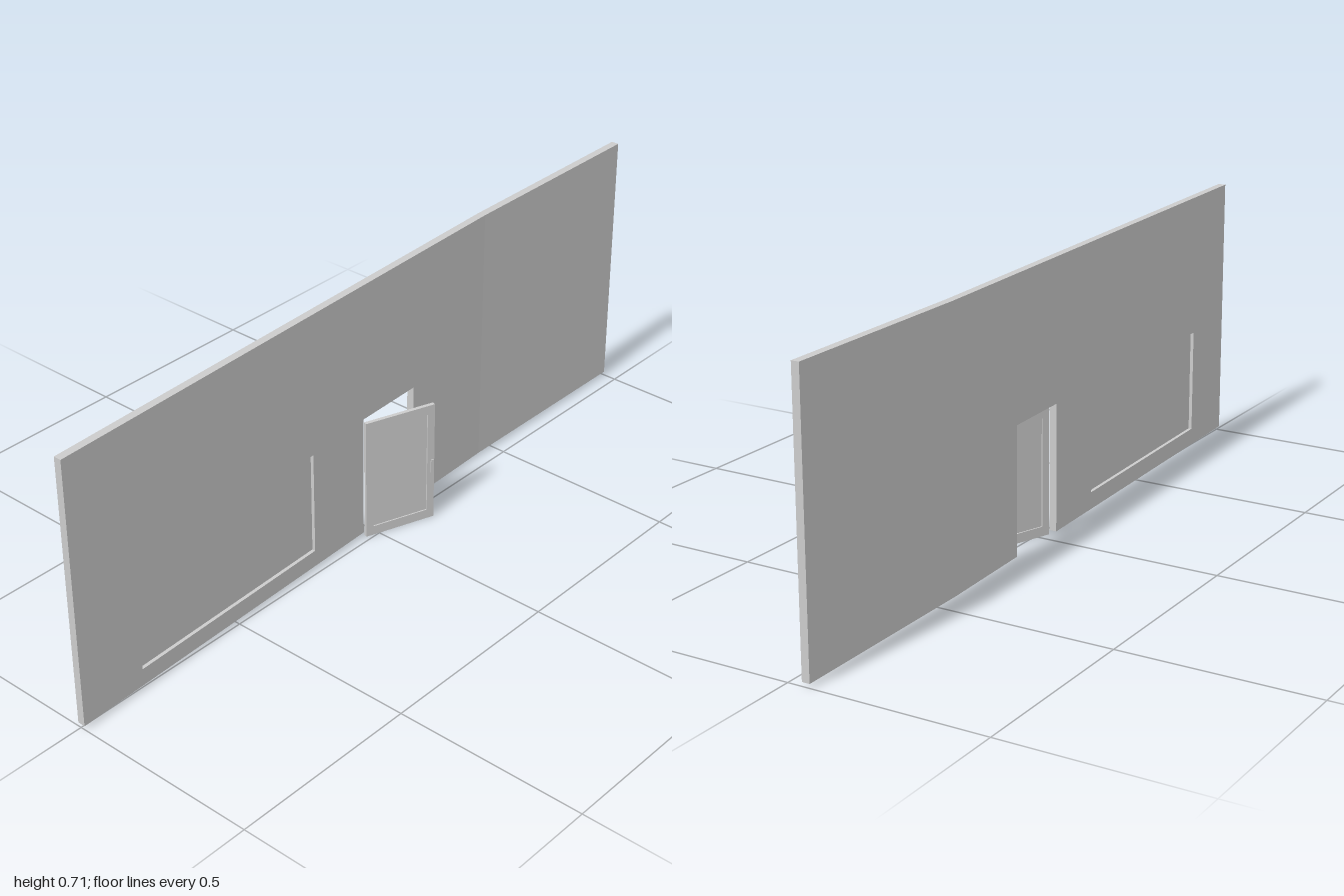
import * as THREE from 'three';

const material = new THREE.MeshStandardMaterial({ color: 0xcccccc, flatShading: true });
const BEND = -0.44, THICK = 0.02;

// x of the wall's left face plane: straight at the back, angled from the bend forward
const wallX = z => -0.057 + 0.049 * Math.max(0, (z - BEND) / (1 - BEND));

// Outline given as [z, y] points, extruded along +x
function slab(outline, holes, depth, x0 = 0) {
  const toPoints = list => list.map(([z, y]) => new THREE.Vector2(-z, y));
  const shape = new THREE.Shape(toPoints(outline));
  holes.forEach(h => shape.holes.push(new THREE.Path(toPoints(h))));
  const geo = new THREE.ExtrudeGeometry(shape, { depth, bevelEnabled: false });
  return geo.rotateY(Math.PI / 2).translate(x0, 0, 0);
}

const rect = (z0, z1, y0, y1) => [[z0, y0], [z1, y0], [z1, y1], [z0, y1]];

// Shift a slab sideways so it follows the line of the wall
function followWall(geo) {
  const p = geo.attributes.position;
  for (let i = 0; i < p.count; i++) p.setX(i, p.getX(i) + wallX(p.getZ(i)));
  geo.computeVertexNormals();
  return geo;
}

function add(parent, name, geo) {
  const mesh = new THREE.Mesh(geo, material);
  mesh.name = name;
  parent.add(mesh);
  return mesh;
}

export function createModel() {
  const model = new THREE.Group();
  model.name = 'wallWithDoor';
  const y0 = 0.01, y1 = 0.706;

  // Wall: straight back section, angled front section with doorway and window
  add(model, 'backWall', followWall(slab(rect(BEND, -1, y0, y1), [], THICK)));
  const front = [
    [1, y0], [0.035, y0], [0.035, 0.34], [-0.16, 0.34], [-0.16, y0],
    [BEND, y0], [BEND, y1], [1, y1],
  ];
  const opening = rect(0.815, 0.22, 0.055, 0.33);
  add(model, 'frontWall', followWall(slab(front, [opening], THICK)));

  // Window pane set in the middle of the wall thickness
  add(model, 'windowPane', followWall(slab(opening, [], 0.002, THICK / 2 - 0.001)));

  // Open door, swung about its hinge edge
  const door = new THREE.Group();
  door.name = 'door';
  door.position.set(-0.022, 0, 0.031);
  door.rotation.y = -0.347;
  const length = 0.193, height = 0.33, t = 0.01;
  const panel = rect(-0.02, -length + 0.02, 0.025, 0.305);
  add(door, 'doorFrame', slab(rect(0, -length, 0, height), [panel], t));
  add(door, 'doorPanel', slab(panel, [], 0.003, t / 2 - 0.0015));

  // Small latch handle gripping both faces near the free edge
  const handle = add(door, 'doorHandle', new THREE.BoxGeometry(0.015, 0.037, 0.008));
  handle.position.set(t / 2, 0.153, -length + 0.006);
  model.add(door);

  return model;
}
